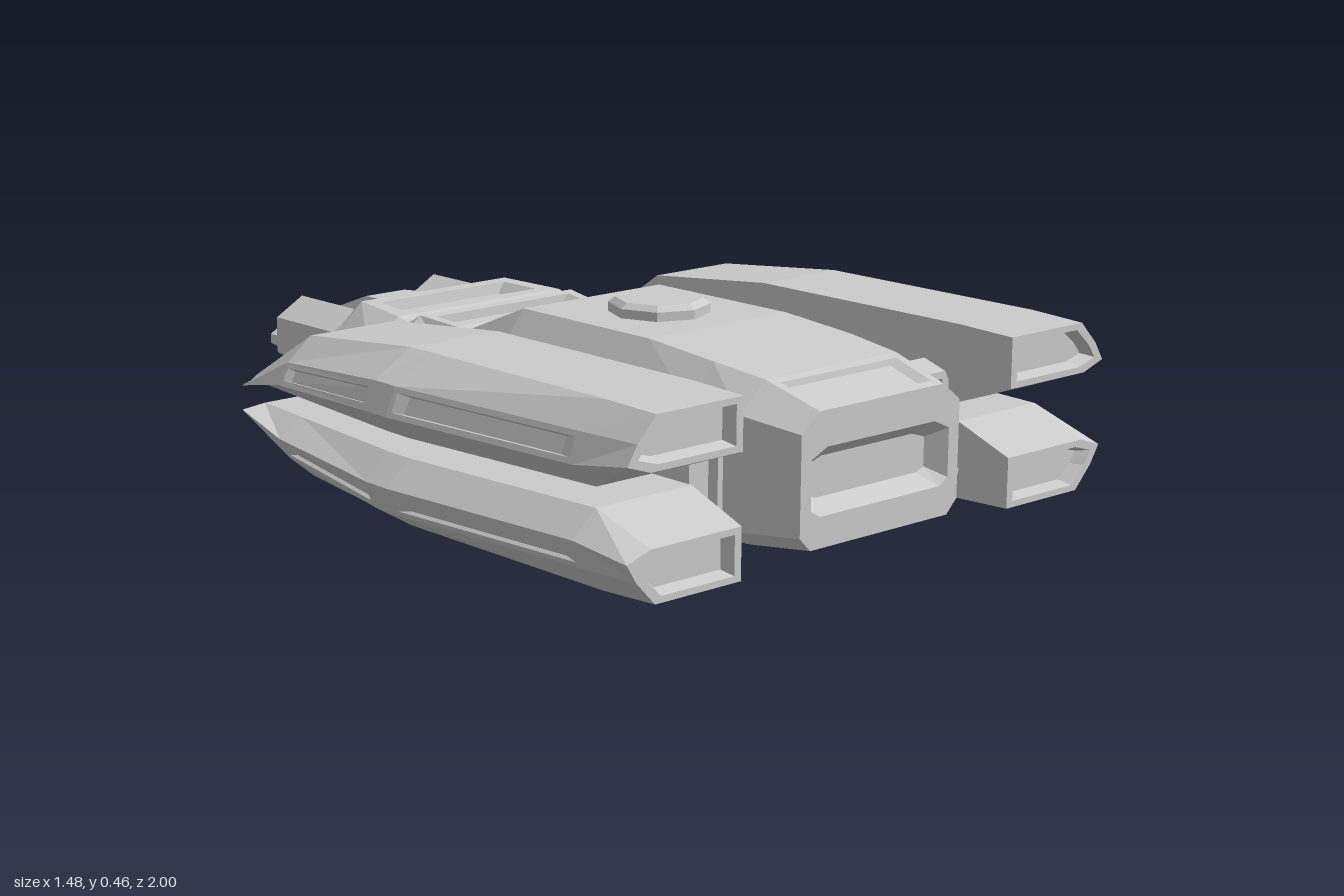
import * as THREE from 'three';

const material = new THREE.MeshStandardMaterial({ color: 0xcccccc, flatShading: true });

function flatGeometry(positions) {
  const g = new THREE.BufferGeometry();
  g.setAttribute('position', new THREE.Float32BufferAttribute(positions, 3));
  g.computeVertexNormals();
  return g;
}

// Skin closed rings (counter-clockwise seen from +z, ordered from -z to +z).
// insets maps "ring,side" to [margin, depth] for a sunken panel.
function loft(rings, insets = {}) {
  const out = [];
  const tri = (...pts) => pts.forEach(p => out.push(p.x, p.y, p.z));
  const quad = (a, b, c, d) => { tri(a, b, c); tri(a, c, d); };
  const n = rings[0].length;
  for (let i = 0; i < rings.length - 1; i++) {
    for (let j = 0; j < n; j++) {
      const k = (j + 1) % n;
      const q = [rings[i][j], rings[i][k], rings[i + 1][k], rings[i + 1][j]];
      const inset = insets[`${i},${j}`];
      if (!inset) { quad(...q); continue; }
      const [m, depth] = inset;
      const u = Math.min(0.35, m / q[0].distanceTo(q[1]));
      const v = Math.min(0.35, m / q[1].distanceTo(q[2]));
      const at = (s, t) => q[0].clone().lerp(q[1], s).lerp(q[3].clone().lerp(q[2], s), t);
      const rim = [at(u, v), at(1 - u, v), at(1 - u, 1 - v), at(u, 1 - v)];
      const normal = q[2].clone().sub(q[0]).cross(q[3].clone().sub(q[1])).normalize();
      const centre = at(0.5, 0.5);
      const floor = rim.map(p => p.clone().lerp(centre, 0.12).addScaledVector(normal, -depth));
      for (let e = 0; e < 4; e++) {
        const f = (e + 1) % 4;
        quad(q[e], q[f], rim[f], rim[e]);
        quad(rim[e], rim[f], floor[f], floor[e]);
      }
      quad(...floor);
    }
  }
  const first = rings[0], last = rings[rings.length - 1];
  for (let j = 1; j < n - 1; j++) {
    tri(first[0], first[j + 1], first[j]);
    tri(last[0], last[j], last[j + 1]);
  }
  return flatGeometry(out);
}

// Mirror a geometry in x, or in y about height y0, restoring the winding
function mirror(geometry, axis, y0 = 0) {
  const p = geometry.attributes.position, out = [];
  for (let i = 0; i < p.count; i += 3) {
    for (const k of [i, i + 2, i + 1]) {
      out.push(axis === 'x' ? -p.getX(k) : p.getX(k),
        axis === 'y' ? 2 * y0 - p.getY(k) : p.getY(k), p.getZ(k));
    }
  }
  return flatGeometry(out);
}

const ring = (z, pts) => pts.map(([x, y]) => new THREE.Vector3(x, y, z));

// Bevelled body section: sides 0 bottom, 2 and 6 flanks, 4 top
function section(z, hw, yb, ys, yt, ht, c = 0.03, cx = 0) {
  return ring(z, [
    [cx - hw + c, yb], [cx + hw - c, yb], [cx + hw, yb + c], [cx + hw, ys],
    [cx + ht, yt], [cx - ht, yt], [cx - hw, ys], [cx - hw, yb + c]]);
}

// Shrink a ring about a centre and move it to another z
const shrink = (r, cx, cy, sx, sy, z) =>
  r.map(p => new THREE.Vector3(cx + (p.x - cx) * sx, cy + (p.y - cy) * sy, z));

// Faceted turned part about y
function turned(sides, pts) {
  const g = new THREE.LatheGeometry(pts.map(p => new THREE.Vector2(...p)), sides).toNonIndexed();
  g.computeVertexNormals();
  return g;
}

export function createModel() {
  const model = new THREE.Group();
  model.name = 'spaceship';
  const add = (name, geometry) => {
    const mesh = new THREE.Mesh(geometry, material);
    mesh.name = name;
    model.add(mesh);
  };
  const addPair = (name, geometry) => {
    add('left' + name, geometry);
    add('right' + name, mirror(geometry, 'x'));
  };

  // Main hull with a sunken rear panel
  const rear = section(1, 0.23, 0.08, 0.32, 0.36, 0.18);
  add('mainHull', loft([
    section(-0.1, 0.24, 0.09, 0.29, 0.32, 0.2),
    section(-0.03, 0.26, 0.07, 0.31, 0.36, 0.22),
    section(0.13, 0.27, 0.07, 0.34, 0.43, 0.2),
    section(0.53, 0.27, 0.07, 0.34, 0.43, 0.2),
    section(0.72, 0.27, 0.07, 0.34, 0.415, 0.2),
    section(0.86, 0.265, 0.07, 0.34, 0.4, 0.19),
    rear,
    shrink(rear, 0, 0.21, 0.87, 0.5, 1),
    shrink(rear, 0, 0.21, 0.74, 0.3, 0.96),
  ], { '5,4': [0.02, 0.012] }));

  // Forward section with sunken roof and flank panels
  add('forwardHull', loft([
    section(-0.48, 0.28, 0.11, 0.28, 0.33, 0.2),
    section(-0.43, 0.292, 0.105, 0.29, 0.36, 0.215),
    section(-0.26, 0.33, 0.09, 0.3, 0.355, 0.24),
    section(-0.23, 0.318, 0.09, 0.3, 0.345, 0.235),
    section(-0.2, 0.305, 0.09, 0.3, 0.365, 0.225),
    section(-0.09, 0.245, 0.09, 0.29, 0.355, 0.21),
    section(0, 0.21, 0.09, 0.28, 0.32, 0.17),
  ], {
    '1,4': [0.035, 0.025], '4,4': [0.025, 0.02],
    '1,2': [0.03, 0.025], '1,6': [0.03, 0.025],
  }));

  // Tapered nose
  add('nose', loft([
    section(-1, 0.05, 0.13, 0.145, 0.16, 0.03, 0.01),
    section(-0.92, 0.071, 0.11, 0.15, 0.2, 0.025, 0.015),
    section(-0.82, 0.088, 0.095, 0.16, 0.25, 0.035, 0.02),
    section(-0.62, 0.108, 0.095, 0.18, 0.322, 0.058, 0.02),
    section(-0.46, 0.115, 0.095, 0.19, 0.332, 0.085, 0.02),
  ]));

  // Forward guns: hollow hexagonal housing with a barrel
  const housing = turned(6, [[0.085, 0.44], [0.085, 0.685], [0.074, 0.7], [0.055, 0.7], [0.048, 0.62], [0, 0.62]]);
  const barrel = turned(6, [[0.022, 0.61], [0.022, 0.79], [0.012, 0.79], [0.012, 0.76], [0, 0.76]]);
  for (const g of [housing, barrel]) g.rotateX(-Math.PI / 2);
  addPair('GunHousing', housing.translate(0.2, 0.247, 0));
  addPair('GunBarrel', barrel.translate(0.2, 0.213, 0));

  // Four side pods, the lower ones mirrored about mid height
  const podRing = (z, xo, yb, ym, ys, yt, xt) => ring(z, [
    [0.39, yb], [xo - 0.06, yb], [xo, ym], [xo - 0.025, ys], [xt, yt], [0.39, yt]]);
  const podRear = podRing(1, 0.688, 0.315, 0.335, 0.375, 0.425, 0.615);
  const pod = loft([
    podRing(-0.24, 0.685, 0.262, 0.268, 0.276, 0.286, 0.645),
    podRing(-0.08, 0.702, 0.262, 0.3, 0.345, 0.395, 0.615),
    podRing(0.27, 0.738, 0.262, 0.315, 0.375, 0.43, 0.62),
    podRing(0.34, 0.74, 0.262, 0.315, 0.375, 0.43, 0.62),
    podRing(0.86, 0.7, 0.262, 0.315, 0.375, 0.43, 0.62),
    podRear,
    shrink(podRear, 0.51, 0.37, 0.85, 0.75, 1),
    shrink(podRear, 0.51, 0.37, 0.78, 0.6, 0.97),
  ], { '0,4': [0.032, 0.012], '1,2': [0.012, 0.008], '3,2': [0.012, 0.008] });
  addPair('UpperPod', pod);
  addPair('LowerPod', mirror(pod, 'y', 0.241));

  // Waisted struts joining hull and pods, each over a tapered foot
  const cx = 0.332;
  const strut = (z0, z1) => {
    const at = (z, hw, yb, yt) => section(z, hw, yb, yt - 0.02, yt, hw - 0.012, 0.012, cx);
    const outer = at(z1, 0.046, 0.12, 0.33);
    return loft([
      at(z0, 0.055, 0.12, 0.33), at(z0 + 0.07, 0.06, 0.1, 0.345),
      at(z0 + 0.1, 0.046, 0.11, 0.325), at(z1 - 0.1, 0.046, 0.11, 0.325),
      at(z1 - 0.07, 0.058, 0.1, 0.345), outer,
      shrink(outer, cx, 0.225, 0.7, 0.85, z1), shrink(outer, cx, 0.225, 0.55, 0.78, z1 - 0.02),
    ], { '2,4': [0.012, 0.02], '2,2': [0.02, 0.015] });
  };
  const foot = (z0, z1) => {
    const at = (z, yb) => ring(z, [
      [cx - 0.038, yb], [cx + 0.038, yb], [cx + 0.053, 0.12], [cx - 0.053, 0.12]]);
    return loft([at(z0, 0.075), at(z0 + 0.03, 0.03), at(z0 + 0.14, 0),
      at(z1 - 0.15, 0), at(z1 - 0.03, 0.03), at(z1, 0.06)]);
  };
  addPair('FrontStrut', strut(-0.1, 0.34));
  addPair('RearStrut', strut(0.46, 0.84));
  addPair('FrontFoot', foot(-0.08, 0.33));
  addPair('RearFoot', foot(0.48, 0.87));

  // Octagonal hatches: one on the roof, two open rings below
  add('roofHatch', turned(8, [[0.11, 0.41], [0.11, 0.45], [0.095, 0.462], [0, 0.462]]).translate(0, 0, 0.345));
  for (const [name, z] of [['frontBellyHatch', -0.06], ['rearBellyHatch', 0.66]]) {
    const hatch = turned(8, [[0.11, -0.11], [0.11, -0.045], [0.095, -0.035], [0.07, -0.035], [0.06, -0.065], [0, -0.065]]);
    add(name, hatch.rotateX(Math.PI).translate(0, 0, z));
  }
  return model;
}
